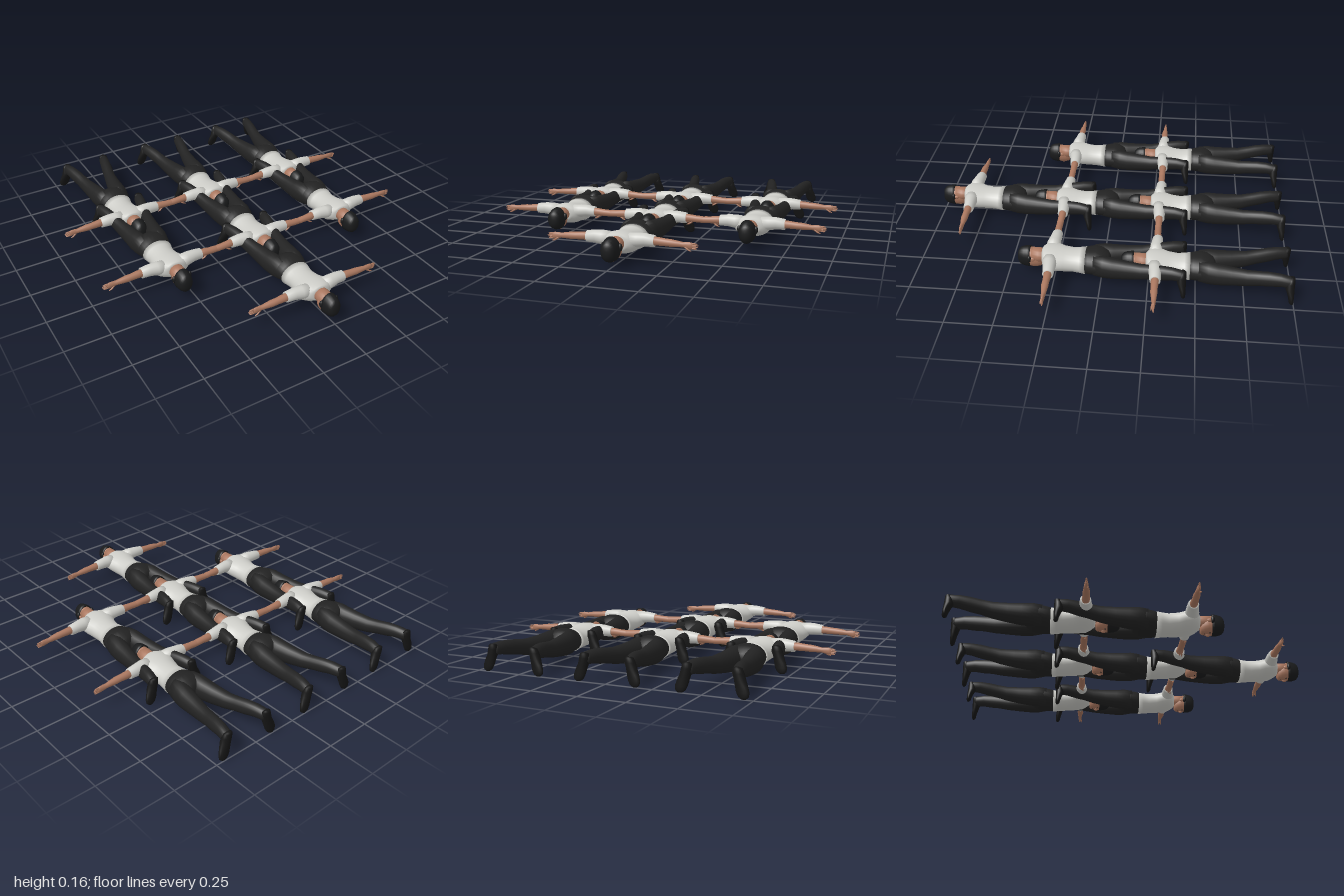
import * as THREE from 'three';

const mat = (name, hex) => {
  const m = new THREE.MeshStandardMaterial({ color: hex });
  m.name = name;
  return m;
};
const shirtMat = mat('white shirt', 0xcdcdc8);
const trouserMat = mat('black trousers', 0x222222);
const skinMat = mat('skin', 0xab7860);
const hairMat = mat('black hair', 0x191a1b);
const shoeMat = mat('black shoes', 0x151515);

const X = new THREE.Vector3(1, 0, 0), Y = new THREE.Vector3(0, 1, 0), Z = new THREE.Vector3(0, 0, 1);
const BASIS = { x: [Z, Y], y: [X, Z], z: [X, Y] };

// Closed tube of elliptical sections [x, y, distance below crown, radius a, radius b]
function loft(axis, sections, n = 20) {
  const [u, v] = BASIS[axis];
  const pos = [], idx = [];
  const centres = sections.map(s => new THREE.Vector3(s[0], s[1], -s[2]));
  const last = centres.length - 1;
  const dir = centres[last].clone().sub(centres[0]);
  const flip = u.clone().cross(v).dot(dir) < 0;
  const tri = (a, b, c) => (flip ? idx.push(a, c, b) : idx.push(a, b, c));
  sections.forEach((s, i) => {
    for (let j = 0; j < n; j++) {
      const t = (j / n) * Math.PI * 2;
      const p = centres[i].clone().addScaledVector(u, s[3] * Math.cos(t)).addScaledVector(v, s[4] * Math.sin(t));
      pos.push(p.x, p.y, p.z);
    }
  });
  for (let i = 0; i < last; i++) {
    for (let j = 0; j < n; j++) {
      const a = i * n + j, b = i * n + (j + 1) % n;
      tri(a, b, a + n);
      tri(b, b + n, a + n);
    }
  }
  // End caps
  const first = pos.length / 3;
  pos.push(...centres[0].toArray(), ...centres[last].toArray());
  for (let j = 0; j < n; j++) {
    const k = (j + 1) % n;
    tri(first, k, j);
    tri(first + 1, last * n + j, last * n + k);
  }
  const g = new THREE.BufferGeometry();
  g.setAttribute('position', new THREE.Float32BufferAttribute(pos, 3));
  g.setIndex(idx);
  g.computeVertexNormals();
  return g;
}

function createFigure() {
  const fig = new THREE.Group();
  const add = (name, geo, m) => {
    const mesh = new THREE.Mesh(geo, m);
    mesh.name = name;
    fig.add(mesh);
    return mesh;
  };
  const ball = (name, m, x, y, v, rx, ry, rz) => {
    const b = add(name, new THREE.SphereGeometry(1, 14, 10), m);
    b.position.set(x, y, -v);
    b.scale.set(rx, ry, rz);
  };

  // Head, lying face down
  add('head', loft('z', [
    [0, 0.09, 0.01, 0.02, 0.03], [0, 0.09, 0.03, 0.036, 0.052], [0, 0.09, 0.06, 0.042, 0.057],
    [0, 0.087, 0.085, 0.043, 0.055], [0, 0.08, 0.105, 0.039, 0.047], [0, 0.072, 0.122, 0.03, 0.036],
    [0, 0.068, 0.13, 0.018, 0.025]]), skinMat);
  add('neck', loft('z', [
    [0, 0.103, 0.075, 0.04, 0.04], [0, 0.103, 0.11, 0.041, 0.038], [0, 0.105, 0.15, 0.04, 0.036]]), skinMat);
  add('hair', loft('z', [
    [0, 0.092, 0, 0.014, 0.02], [0, 0.092, 0.004, 0.027, 0.037], [0, 0.092, 0.015, 0.037, 0.051],
    [0, 0.092, 0.035, 0.042, 0.059], [0, 0.092, 0.055, 0.045, 0.062], [0, 0.092, 0.067, 0.047, 0.063],
    [0, 0.092, 0.068, 0.04, 0.055]], 24), hairMat);
  ball('nose', skinMat, 0, 0.034, 0.089, 0.008, 0.011, 0.013);
  ball('mouth', hairMat, 0, 0.037, 0.109, 0.012, 0.003, 0.002);

  // Torso and pelvis
  add('shirt', loft('z', [
    [0, 0.105, 0.132, 0.044, 0.038], [0, 0.105, 0.14, 0.062, 0.044], [0, 0.103, 0.155, 0.088, 0.05],
    [0, 0.098, 0.18, 0.1, 0.057], [0, 0.094, 0.215, 0.095, 0.059], [0, 0.087, 0.25, 0.082, 0.06],
    [0, 0.083, 0.3, 0.074, 0.06], [0, 0.083, 0.335, 0.079, 0.063], [0, 0.083, 0.365, 0.086, 0.067]], 28), shirtMat);
  add('pelvis', loft('z', [
    [0, 0.083, 0.345, 0.076, 0.06], [0, 0.086, 0.38, 0.086, 0.067], [0, 0.09, 0.42, 0.096, 0.07],
    [0, 0.09, 0.455, 0.096, 0.065], [0, 0.09, 0.485, 0.07, 0.05], [0, 0.09, 0.497, 0.03, 0.03]], 28), trouserMat);

  for (const s of [1, -1]) {
    const side = s > 0 ? 'left' : 'right';
    const part = (name, axis, sections, m, n) =>
      add(side + name, loft(axis, sections.map(([x, ...r]) => [s * x, ...r]), n), m);

    ball(side + 'Eye', hairMat, s * 0.017, 0.039, 0.08, 0.007, 0.004, 0.003);
    ball(side + 'Ear', skinMat, s * 0.044, 0.1, 0.083, 0.006, 0.011, 0.014);
    ball(side + 'Sideburn', hairMat, s * 0.045, 0.103, 0.066, 0.011, 0.02, 0.011);

    // Arm stretched sideways
    part('Sleeve', 'x', [
      [0.05, 0.113, 0.18, 0.038, 0.038], [0.09, 0.117, 0.182, 0.037, 0.037],
      [0.13, 0.119, 0.186, 0.032, 0.033], [0.178, 0.116, 0.188, 0.029, 0.029],
      [0.176, 0.116, 0.188, 0.02, 0.02]], shirtMat);
    part('Arm', 'x', [
      [0.15, 0.117, 0.187, 0.021, 0.022], [0.2, 0.116, 0.187, 0.02, 0.021], [0.235, 0.114, 0.186, 0.018, 0.019],
      [0.26, 0.113, 0.186, 0.019, 0.019], [0.295, 0.111, 0.187, 0.015, 0.016], [0.32, 0.109, 0.188, 0.012, 0.013],
      [0.335, 0.108, 0.188, 0.011, 0.016], [0.355, 0.106, 0.188, 0.009, 0.018], [0.368, 0.105, 0.188, 0.007, 0.016]],
    skinMat);
    for (let i = 0; i < 4; i++) {
      const y = 0.117 - i * 0.008, tip = 0.398 - Math.abs(i - 1.3) * 0.005;
      part('Finger', 'x', [[0.36, y, 0.188, 0.005, 0.0045], [0.38, y - 0.001, 0.189, 0.005, 0.0045],
        [tip, y - 0.002, 0.19, 0.002, 0.002]], skinMat, 8);
    }
    part('Thumb', 'x', [[0.33, 0.1, 0.184, 0.006, 0.006], [0.35, 0.087, 0.179, 0.005, 0.005],
      [0.365, 0.082, 0.177, 0.002, 0.002]], skinMat, 8);

    // Leg spread slightly outwards
    part('Leg', 'z', [
      [0.048, 0.09, 0.41, 0.044, 0.058], [0.053, 0.088, 0.46, 0.051, 0.064], [0.059, 0.085, 0.51, 0.05, 0.06],
      [0.068, 0.086, 0.58, 0.043, 0.053], [0.08, 0.09, 0.66, 0.036, 0.045], [0.091, 0.1, 0.72, 0.033, 0.041],
      [0.101, 0.107, 0.77, 0.033, 0.041], [0.112, 0.114, 0.825, 0.031, 0.036], [0.122, 0.113, 0.873, 0.028, 0.032],
      [0.122, 0.113, 0.884, 0.022, 0.026]], trouserMat);

    // Shoe pointing its toe at the ground
    part('Shoe', 'y', [
      [0.122, 0.143, 0.883, 0.013, 0.01], [0.123, 0.137, 0.881, 0.023, 0.017], [0.126, 0.115, 0.876, 0.027, 0.023],
      [0.133, 0.085, 0.875, 0.028, 0.024], [0.143, 0.055, 0.881, 0.031, 0.018], [0.15, 0.03, 0.885, 0.032, 0.014],
      [0.154, 0.01, 0.887, 0.025, 0.012], [0.156, 0, 0.889, 0.011, 0.006]], shoeMat);
  }
  return fig;
}

export function createModel() {
  const model = new THREE.Group();
  model.name = 'flyingFormation';
  const figure = createFigure();
  // One leader followed by two rows of three: [x, crown z]
  const places = [[0, 1]];
  for (const z of [0.45, -0.102]) for (const x of [-0.545, 0, 0.545]) places.push([x, z]);
  places.forEach(([x, z], i) => {
    const f = figure.clone();
    f.name = 'person' + (i + 1);
    f.position.set(x, 0, z);
    model.add(f);
  });
  return model;
}
